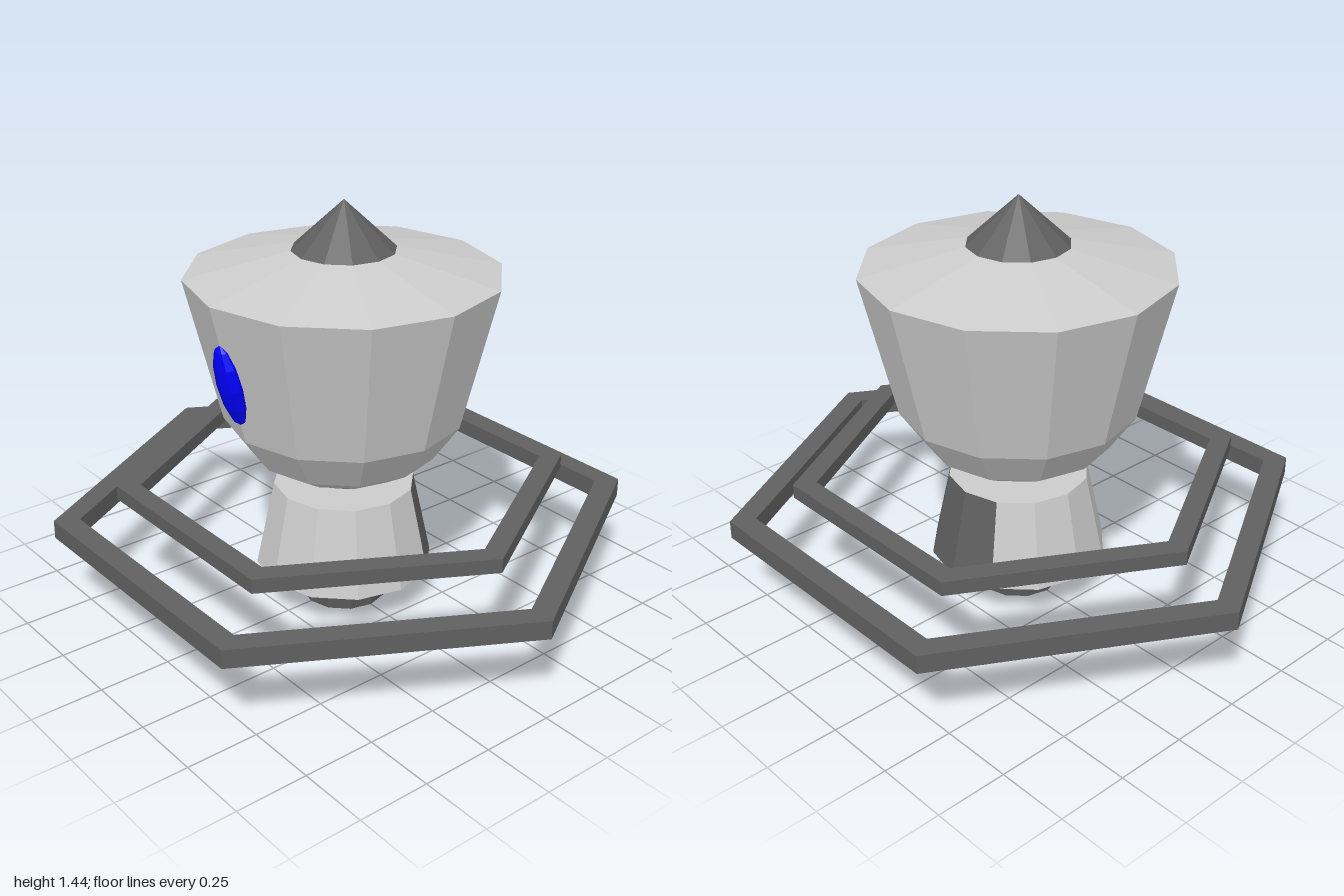
import * as THREE from 'three';

const SIDES = 12;
const material = (color) => new THREE.MeshStandardMaterial({ color, flatShading: true, side: THREE.DoubleSide });

export function createModel() {
  const model = new THREE.Group();
  const light = material(0xcccccc);
  const dark = material(0x606060);
  const blue = material(0x0000ff);

  const add = (name, geometry, mat) => {
    const mesh = new THREE.Mesh(geometry, mat);
    mesh.name = name;
    model.add(mesh);
    return mesh;
  };
  // Faceted turned part from [radius, height] pairs, optionally only part of the turn
  const turned = (name, profile, mat, sides = SIDES, firstSide = 0) => {
    const step = (Math.PI * 2) / SIDES;
    const points = profile.map(([r, y]) => new THREE.Vector2(r, y));
    return add(name, new THREE.LatheGeometry(points, sides, firstSide * step, sides * step), mat);
  };

  // Foot, waist and neck
  turned('foot', [[0, 0], [0.15, 0], [0.18, 0.135], [0, 0.135]], dark);
  turned('skirtUnderside', [[0, 0.135], [0.31, 0.135]], light);
  turned('skirtTop', [[0.245, 0.44], [0, 0.44]], light);
  const skirt = [[0.31, 0.135], [0.245, 0.44]];
  turned('skirt', skirt, light, 9, 7); // wraps past the front
  turned('skirtBackPanel', skirt, dark, 3, 4); // three dark facets behind
  turned('neck', [[0.085, 0.44], [0.08, 0.47], [0.06, 0.52]], dark);

  // Head with shallow roof and pointed cap
  turned('head', [[0, 0.515], [0.23, 0.515], [0.32, 0.57], [0.41, 0.7], [0.53, 1.195], [0.175, 1.275]], light);
  turned('cap', [[0.175, 1.275], [0, 1.44]], dark);

  // Single eye lying on the sloped front of the head
  const eye = add('eye', new THREE.SphereGeometry(1, 8, 6), blue);
  eye.scale.set(0.06, 0.15, 0.035);
  eye.position.set(0, 0.915, 0.462);
  eye.rotation.x = Math.atan(0.12 / 0.495);

  // Floating hexagonal rings
  const hexagon = (r, Type) => {
    const points = [];
    for (let i = 0; i < 6; i++) {
      const a = (i * Math.PI) / 3;
      points.push(new THREE.Vector2(r * Math.cos(a), r * Math.sin(a)));
    }
    return new Type(points);
  };
  const ring = (name, outer, inner, bottom, top) => {
    const shape = hexagon(outer, THREE.Shape);
    shape.holes.push(hexagon(inner, THREE.Path));
    const geometry = new THREE.ExtrudeGeometry(shape, { depth: top - bottom, bevelEnabled: false });
    geometry.rotateX(-Math.PI / 2);
    add(name, geometry, dark).position.y = bottom;
  };
  ring('lowerRing', 1, 0.912, 0.29, 0.355);
  ring('upperRing', 0.78, 0.7, 0.42, 0.47);

  return model;
}
